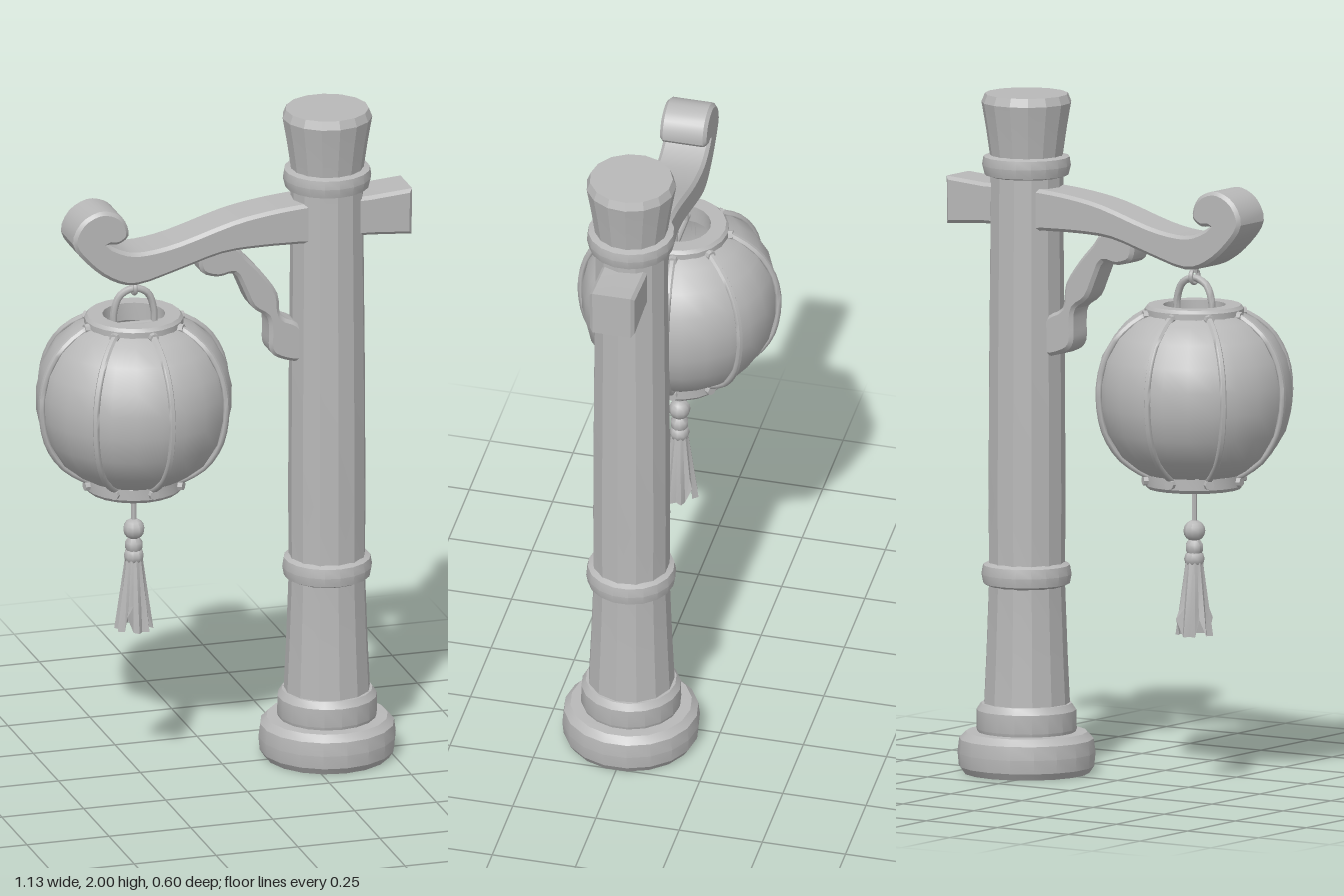
import * as THREE from 'three';
import { toCreasedNormals } from 'three/addons/utils/BufferGeometryUtils.js';

const gray = new THREE.MeshStandardMaterial({ color: 0xb8b8b8, side: THREE.DoubleSide });
gray.name = 'stone gray';

const POST_X = 0.32, LAMP_X = -0.27;
const v2 = pts => pts.map(([x, y]) => new THREE.Vector2(x, y));

function add(parent, name, geometry, crease = 0.5) {
  const mesh = new THREE.Mesh(toCreasedNormals(geometry, crease), gray);
  mesh.name = name;
  parent.add(mesh);
  return mesh;
}

// Turned part from [radius, y] pairs, listed bottom to top
function turned(parent, name, pts, sides, crease) {
  return add(parent, name, new THREE.LatheGeometry(v2(pts), sides), crease);
}

// Bevelled slab from a front outline, centred on z = 0
function slab(parent, name, pts, width, smooth) {
  let outline = v2(pts);
  if (smooth) {
    outline = new THREE.SplineCurve([...outline, outline[0]]).getPoints(pts.length * 3);
    outline.pop();
  }
  const bevel = 0.01;
  const geo = new THREE.ExtrudeGeometry(new THREE.Shape(outline), {
    depth: width - 2 * bevel, bevelEnabled: true, bevelThickness: bevel,
    bevelSize: bevel, bevelOffset: -bevel, bevelSegments: 1,
  });
  geo.translate(0, 0, bevel - width / 2);
  return add(parent, name, geo, 0.45);
}

function buildPost() {
  const post = new THREE.Group();
  post.name = 'post';
  post.position.x = POST_X;
  turned(post, 'foot', [[0, 0], [0.185, 0], [0.198, 0.02], [0.202, 0.06], [0.197, 0.1],
    [0.178, 0.12], [0, 0.125]], 18, 0.4);
  turned(post, 'footCollar', [[0.14, 0.11], [0.147, 0.13], [0.146, 0.185], [0.133, 0.205],
    [0, 0.21]], 18, 0.4);
  turned(post, 'shaft', [[0.127, 0.2], [0.12, 0.35], [0.112, 0.57], [0.114, 0.8],
    [0.112, 1.2], [0.108, 1.6], [0.107, 1.8]], 13, 0.3);
  turned(post, 'lowerBand', [[0.11, 0.55], [0.127, 0.558], [0.132, 0.585], [0.127, 0.612],
    [0.11, 0.62]], 18, 0.5);
  turned(post, 'upperBand', [[0.1, 1.755], [0.123, 1.762], [0.13, 1.79], [0.126, 1.815],
    [0.1, 1.822]], 18, 0.5);
  turned(post, 'cap', [[0.106, 1.81], [0.119, 1.9], [0.132, 1.975], [0.122, 2], [0, 2]], 15, 0.3);
  return post;
}

function buildArm() {
  const arm = new THREE.Group();
  arm.name = 'arm';
  // Beam ending in an upward curl
  slab(arm, 'curledBeam', [
    [0.32, 1.735], [0.22, 1.73], [0.12, 1.72], [0.01, 1.7], [-0.15, 1.652], [-0.25, 1.635],
    [-0.31, 1.64], [-0.365, 1.668], [-0.335, 1.667], [-0.305, 1.69], [-0.315, 1.735],
    [-0.345, 1.763], [-0.395, 1.772], [-0.45, 1.742], [-0.474, 1.68], [-0.43, 1.615],
    [-0.36, 1.558], [-0.28, 1.535], [-0.15, 1.568], [-0.02, 1.605], [0.1, 1.612],
    [0.22, 1.61], [0.32, 1.61]], 0.14, true);
  slab(arm, 'beamEnd', [[0.32, 1.615], [0.43, 1.615], [0.56, 1.605], [0.562, 1.745],
    [0.43, 1.735], [0.32, 1.735]], 0.135, false);
  // Scalloped brace under the beam
  slab(arm, 'brace', [
    [-0.085, 1.6], [-0.075, 1.545], [-0.025, 1.525], [0.025, 1.53], [0.05, 1.485],
    [0.08, 1.42], [0.125, 1.385], [0.132, 1.34], [0.133, 1.285], [0.16, 1.255],
    [0.23, 1.24], [0.25, 1.3], [0.22, 1.355], [0.168, 1.385], [0.157, 1.455],
    [0.11, 1.525], [0.06, 1.58], [0.03, 1.615], [-0.03, 1.615]], 0.09, true);
  return arm;
}

function buildLantern() {
  const lantern = new THREE.Group();
  lantern.name = 'lantern';
  lantern.position.x = LAMP_X;
  const profile = [[0.13, 0.92], [0.175, 0.945], [0.225, 0.985], [0.268, 1.055], [0.285, 1.13],
    [0.286, 1.2], [0.27, 1.27], [0.232, 1.335], [0.18, 1.38], [0.13, 1.405]];
  turned(lantern, 'shade', profile, 24, 0.6);

  // Rims with an open middle
  for (const [name, y] of [['bottomRim', 0.885], ['topRim', 1.372]]) {
    turned(lantern, name, [[0.092, y], [0.137, y], [0.145, y + 0.01], [0.145, y + 0.043],
      [0.137, y + 0.053], [0.092, y + 0.053], [0.092, y]], 20, 0.4);
  }

  // Eight ribs, each with a stud on both rims
  const ribCurve = new THREE.CatmullRomCurve3(
    profile.map(([r, y]) => new THREE.Vector3(r + 0.004, y, 0)));
  for (let i = 0; i < 8; i++) {
    const rib = new THREE.Group();
    rib.name = 'rib';
    rib.rotation.y = 0.1 + i * Math.PI / 4;
    add(rib, 'ribRod', new THREE.TubeGeometry(ribCurve, 18, 0.01, 6), 1.2);
    for (const y of [0.912, 1.398]) {
      const stud = add(rib, 'rimStud', new THREE.CylinderGeometry(0.014, 0.016, 0.02, 8));
      stud.rotation.z = -Math.PI / 2;
      stud.position.set(0.147, y, 0);
    }
    lantern.add(rib);
  }

  // Handle, link and hanging pin
  const handle = new THREE.CatmullRomCurve3([[-0.062, 1.385], [-0.06, 1.44], [-0.042, 1.485],
    [0, 1.503], [0.042, 1.485], [0.06, 1.44], [0.062, 1.385]]
    .map(([x, y]) => new THREE.Vector3(x, y, 0)));
  add(lantern, 'handle', new THREE.TubeGeometry(handle, 20, 0.011, 7), 1.2);
  for (const y of [0.912, 1.39]) {
    const bar = add(lantern, 'crossBar', new THREE.CylinderGeometry(0.011, 0.011, 0.2, 7), 1.2);
    bar.rotation.z = Math.PI / 2;
    bar.position.y = y;
  }
  const link = add(lantern, 'link', new THREE.TorusGeometry(0.02, 0.007, 6, 14), 1.2);
  link.rotation.y = Math.PI / 2;
  link.position.y = 1.508;
  add(lantern, 'hangingPin', new THREE.CylinderGeometry(0.01, 0.01, 0.05, 8), 1)
    .position.y = 1.543;
  return lantern;
}

function buildTassel() {
  const tassel = new THREE.Group();
  tassel.name = 'tassel';
  tassel.position.x = LAMP_X;
  add(tassel, 'cord', new THREE.CylinderGeometry(0.008, 0.008, 0.16, 7), 1.2).position.y = 0.84;
  add(tassel, 'bead', new THREE.SphereGeometry(0.032, 10, 8), 0.9).position.y = 0.758;
  turned(tassel, 'knot', [[0.014, 0.735], [0.026, 0.718], [0.026, 0.7], [0.018, 0.685]]
    .reverse(), 10, 0.9);
  // Pleated skirt with an uneven hem
  const skirt = new THREE.CylinderGeometry(0.022, 0.055, 0.24, 20, 3, true);
  const p = skirt.attributes.position;
  for (let i = 0; i < p.count; i++) {
    const k = i % 21, t = 0.5 - p.getY(i) / 0.24;
    const pleat = k % 2 ? 1 - 0.22 * t : 1.04;
    const hem = t > 0.99 && k % 5 === 3 ? 0.05 : 0;
    p.setXYZ(i, p.getX(i) * pleat, p.getY(i) + hem, p.getZ(i) * pleat);
  }
  add(tassel, 'skirt', skirt, 0.3).position.y = 0.57;
  add(tassel, 'skirtBinding', new THREE.SphereGeometry(0.03, 10, 6), 0.9).position.y = 0.675;
  return tassel;
}

export function createModel() {
  const model = new THREE.Group();
  model.name = 'lanternPost';
  model.add(buildPost(), buildArm(), buildLantern(), buildTassel());
  return model;
}
